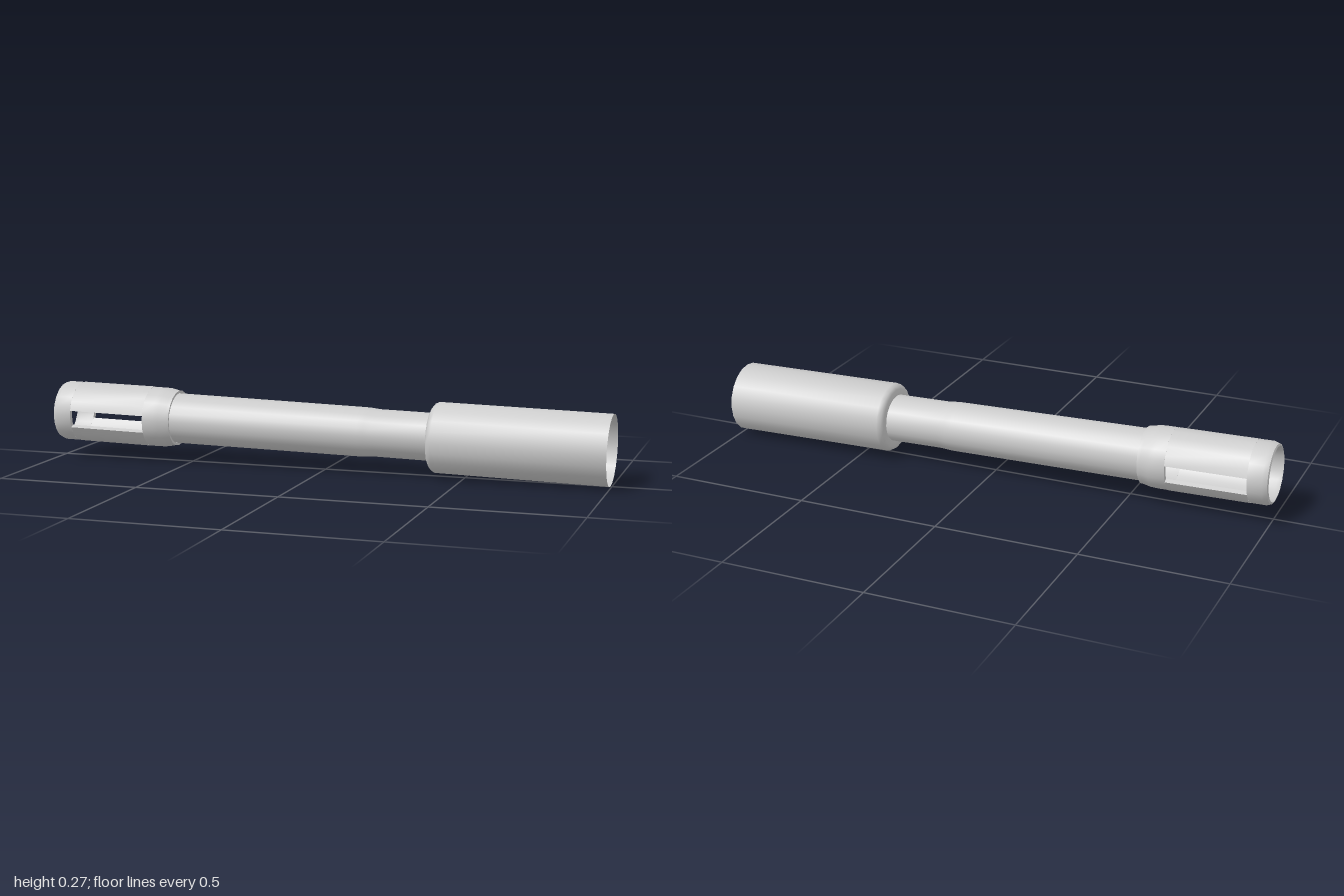
import * as THREE from 'three';
import { toCreasedNormals } from 'three/addons/utils/BufferGeometryUtils.js';

const material = new THREE.MeshStandardMaterial({ color: 0xcccccc, side: THREE.DoubleSide });
const SIDES = 20;

// Turns a profile of [x, radius] points around the x axis; angle 0 is +z, positive angles go down
function turned(name, profile, squash, start = 0, sweep = Math.PI * 2) {
  const points = profile.map(([x, r]) => new THREE.Vector2(r, x));
  const sides = Math.max(2, Math.round((SIDES * sweep) / (Math.PI * 2)));
  const geometry = new THREE.LatheGeometry(points, sides, start, sweep);
  geometry.rotateZ(-Math.PI / 2);
  geometry.scale(1, squash, 1);
  const mesh = new THREE.Mesh(toCreasedNormals(geometry, 0.6), material);
  mesh.name = name;
  return mesh;
}

function createMuzzle() {
  const group = new THREE.Group();
  group.name = 'muzzle';
  const outer = 0.11, inner = 0.093, squash = 0.97;
  const slotStart = -0.93, slotEnd = -0.65;
  const slotUp = THREE.MathUtils.degToRad(8.6), slotDown = THREE.MathUtils.degToRad(25);

  // Rounded front rim and rear collar, both hollow
  group.add(turned('muzzleRim', [
    [slotStart, inner], [-0.985, inner], [-1, 0.097], [-0.997, 0.104],
    [-0.98, outer], [slotStart, outer], [slotStart, inner],
  ], squash));
  group.add(turned('muzzleCollar', [
    [slotEnd, inner], [slotEnd, outer], [-0.61, outer], [-0.59, 0.109],
    [-0.565, 0.103], [-0.552, 0.102], [-0.552, inner], [slotEnd, inner],
  ], squash));

  // Upper and lower walls, leaving a slot on each side
  const wall = [[slotStart, outer], [slotEnd, outer]];
  const bore = [[slotEnd, inner], [slotStart, inner]];
  const arcs = [
    ['upper', Math.PI + slotUp, Math.PI - 2 * slotUp],
    ['lower', slotDown, Math.PI - 2 * slotDown],
  ];
  for (const [label, start, sweep] of arcs) {
    group.add(turned(label + 'MuzzleWall', wall, squash, start, sweep));
    group.add(turned(label + 'MuzzleBore', bore, squash, start, sweep));
    // Long edges of the slots
    for (const angle of [start, start + sweep]) {
      const edge = new THREE.PlaneGeometry(slotEnd - slotStart, outer - inner);
      edge.rotateX(Math.PI / 2);
      edge.translate((slotStart + slotEnd) / 2, 0, (outer + inner) / 2);
      edge.rotateX(angle);
      edge.scale(1, squash, 1);
      const mesh = new THREE.Mesh(edge, material);
      mesh.name = label + 'SlotEdge';
      group.add(mesh);
    }
  }
  return group;
}

export function createModel() {
  const model = new THREE.Group();
  model.name = 'barrelAssembly';

  model.add(createMuzzle());

  // Long tapering barrel stepping down to a narrow neck
  model.add(turned('barrel', [
    [-0.56, 0.096], [0.14, 0.093], [0.16, 0.092], [0.19, 0.089], [0.385, 0.089],
  ], 0.93));

  // Shallow dome closing the barrel behind the muzzle
  model.add(turned('barrelPlug', [
    [-0.56, 0.096], [-0.552, 0.065], [-0.547, 0.035], [-0.545, 0],
  ], 0.93));

  // Wide open sleeve with a bevelled shoulder
  model.add(turned('sleeve', [
    [0.385, 0.085], [0.385, 0.108], [0.392, 0.119], [0.405, 0.126], [0.998, 0.126],
  ], 0.972));

  // The whole length dips slightly towards the sleeve
  model.rotation.z = -0.0203;
  model.position.y = 0.1458;
  const root = new THREE.Group();
  root.name = 'barrelModel';
  root.add(model);
  return root;
}
